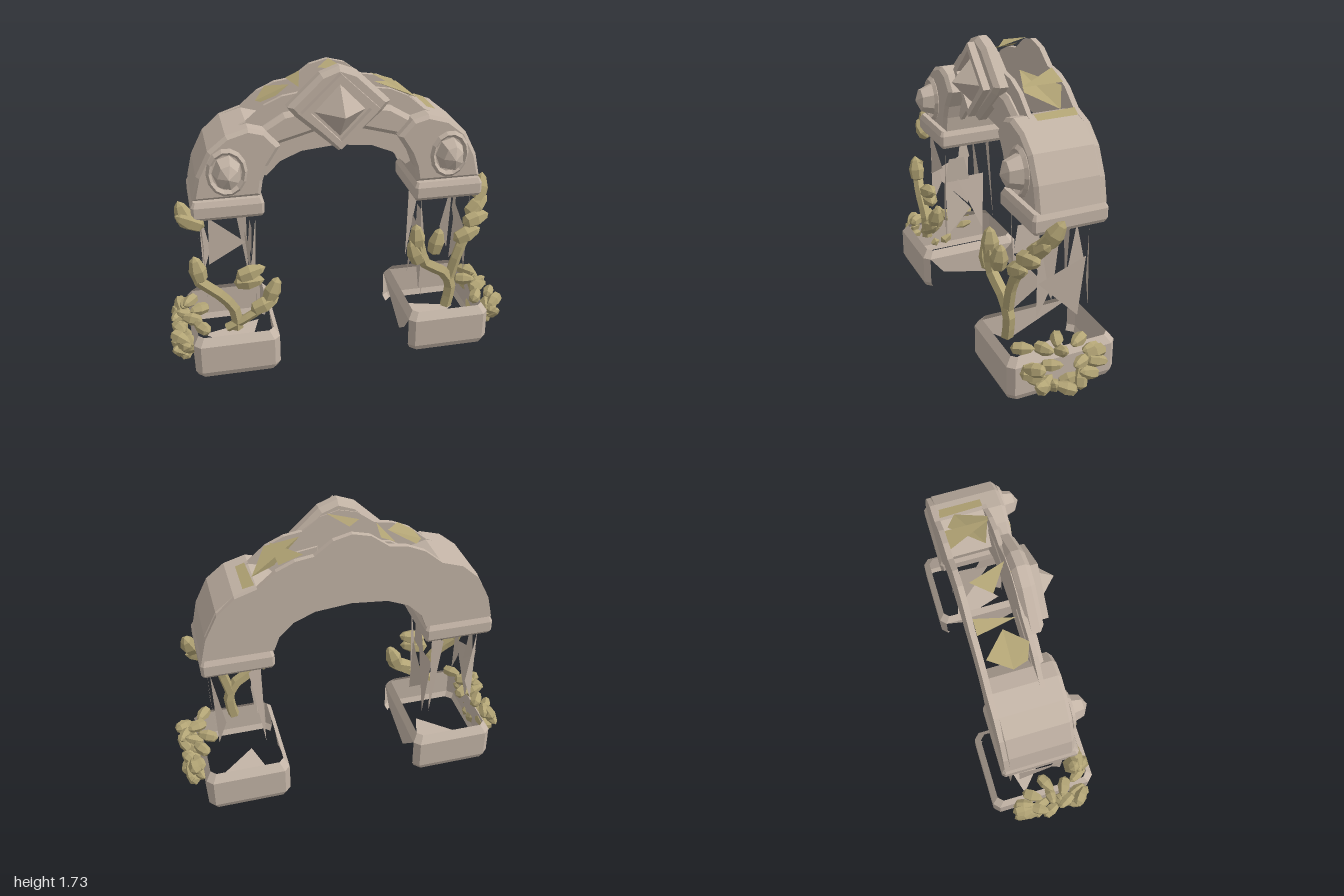
import * as THREE from 'three';

const V = (x, y, z) => new THREE.Vector3(x, y, z);
const mat = (name, color) => {
  const m = new THREE.MeshStandardMaterial({ color, flatShading: true, side: THREE.DoubleSide });
  m.name = name;
  return m;
};

// Outer and inner edge of the arch for x >= 0
const OUTER = [[0, 1.675], [0.1, 1.65], [0.2, 1.575], [0.3, 1.56], [0.4, 1.515], [0.5, 1.43], [0.62, 1.39], [0.72, 1.3], [0.79, 1.16], [0.82, 1.03]];
const INNER = [[0.43, 1.03], [0.4, 1.11], [0.32, 1.19], [0.2, 1.24], [0, 1.26]];
const archY = (x) => {
  const a = Math.abs(x);
  const i = Math.max(1, OUTER.findIndex((p) => p[0] >= a));
  const [p, q] = [OUTER[i - 1], OUTER[i]];
  return p[1] + ((a - p[0]) / (q[0] - p[0])) * (q[1] - p[1]);
};

const shapeOf = (pts) => new THREE.Shape(pts.map((p) => new THREE.Vector2(p[0], p[1])));

// Plate from a front outline between two depths
function plate(pts, z0, z1, bevel = 0) {
  const geo = new THREE.ExtrudeGeometry(shapeOf(pts), {
    depth: z1 - z0 - bevel, bevelEnabled: bevel > 0, bevelThickness: bevel, bevelSize: bevel, bevelOffset: -bevel, bevelSegments: 1,
  });
  geo.translate(0, 0, z0);
  return geo;
}

// Flat polygons, each a fan of triangles
function facets(polys) {
  const a = [];
  for (const p of polys) for (let i = 1; i < p.length - 1; i++) a.push(...p[0], ...p[i], ...p[i + 1]);
  const geo = new THREE.BufferGeometry();
  geo.setAttribute('position', new THREE.Float32BufferAttribute(a, 3));
  geo.computeVertexNormals();
  return geo;
}

// Walls through stacked rectangles with cut corners: [y, half x, half z, cut]; one side may be left out below the rim
function stack(levels, closed, openSide = -1) {
  const rings = levels.map(([y, w, d, c]) => [[w, d - c], [w - c, d], [c - w, d], [-w, d - c], [-w, c - d], [c - w, -d], [w - c, -d], [w, c - d]].map(([x, z]) => [x, y, z]));
  const polys = [];
  for (let k = 0; k < rings.length - 1; k++) {
    for (let i = 0; i < 8; i++) {
      if (i === openSide && k < 2) continue;
      const j = (i + 1) % 8;
      polys.push([rings[k][i], rings[k + 1][i], rings[k + 1][j], rings[k][j]]);
    }
  }
  if (closed) polys.push(rings[0], [...rings[rings.length - 1]].reverse());
  return facets(polys);
}

export function createModel() {
  const stone = mat('stone', 0xc3b4a6);
  const olive = mat('olive', 0xb2a475);
  const root = new THREE.Group();
  root.name = 'archway';
  const add = (name, geo, m = stone, parent = root) => {
    const mesh = new THREE.Mesh(geo, m);
    mesh.name = name;
    parent.add(mesh);
    return mesh;
  };

  // Arch faces: a full plate at the back and a recessed one in front
  const mirror = (pts) => pts.map(([x, y]) => [-x, y]).reverse();
  const arch = [...OUTER, ...INNER, ...mirror(INNER).slice(1), ...mirror(OUTER).slice(0, -1)];
  add('archBack', plate(arch, -0.24, -0.21));
  const near = OUTER.filter((p) => p[0] < 0.6);
  const face = [...near, [0.57, 1.4], [0.57, 1.2], [0.4, 1.11], ...INNER.slice(2)];
  add('archFront', plate([...face, ...mirror(face).slice(1, -1)], 0.03, 0.055));

  // Raised moulding along each side of the arch front
  for (const s of [1, -1]) {
    const band = [[0.1, 1.5], [0.3, 1.47], [0.45, 1.38], [0.45, 1.25], [0.32, 1.3], [0.1, 1.36]];
    add('archMoulding', plate(s > 0 ? band : mirror(band), 0.05, 0.09, 0.025));
  }

  // Olive scales on the open top of the arch
  const scales = [
    [[-0.43, -0.08], [-0.36, -0.2], [-0.24, -0.08], [-0.33, 0.03], [-0.41, 0]],
    [[-0.24, -0.21], [-0.16, -0.21], [-0.2, 0]],
    [[-0.08, -0.08], [0, -0.18], [0.07, 0.02]],
    [[-0.04, 0.08], [0, 0.03], [0.04, 0.08]],
    [[0.25, -0.21], [0.38, -0.21], [0.38, 0.03]],
    [[0.23, -0.03], [0.4, -0.19], [0.51, -0.13], [0.41, 0.03]],
    [[0.51, -0.21], [0.57, -0.2], [0.57, 0.03], [0.52, 0.03]],
  ];
  add('archScales', facets(scales.map((p) => p.map(([x, z]) => [x, archY(x) + 0.012, z]))), olive);

  // Diamond keystone: two stepped frames and a pointed gem
  const rhomb = (w, h, y = 1.485) => [[0, y + h], [w * 0.36, y + h * 0.84], [w, y + h * 0.12], [w * 0.85, y - h * 0.1], [0, y - h],
    [-w * 0.85, y - h * 0.1], [-w, y + h * 0.12], [-w * 0.36, y + h * 0.84]];
  add('keystoneBase', plate(rhomb(0.285, 0.24), 0.06, 0.13, 0.025));
  const kite = (w, h) => [[0, 1.485 + h], [w, 1.49], [0, 1.485 - h], [-w, 1.49]];
  const ring = shapeOf(kite(0.215, 0.21));
  ring.holes.push(new THREE.Path(kite(0.165, 0.165).map((p) => new THREE.Vector2(...p))));
  const ringGeo = new THREE.ExtrudeGeometry(ring, { depth: 0.04, bevelEnabled: false });
  add('keystoneFrame', ringGeo.translate(0, 0, 0.13));
  const gem = new THREE.ConeGeometry(1, 1, 4);
  gem.rotateX(Math.PI / 2).scale(0.14, 0.145, 0.135);
  add('keystoneGem', gem.translate(0, 1.485, 0.197));

  // Tapered pod standing on y, pointed along dir
  const pod = (parent, x, y, z, dir, size = 1) => {
    const geo = new THREE.SphereGeometry(1, 6, 4).scale(0.05, 0.088, 0.05);
    const p = geo.attributes.position;
    for (let i = 0; i < p.count; i++) {
      const k = 1 - p.getY(i) * 3;
      p.setX(i, p.getX(i) * k);
      p.setZ(i, p.getZ(i) * k);
    }
    const mesh = add('leafPod', geo, olive, parent);
    mesh.scale.setScalar(size);
    mesh.position.set(x, y, z);
    mesh.quaternion.setFromUnitVectors(V(0, 1, 0), V(...dir).normalize());
  };
  const stem = (parent, pts, r) =>
    add('vineStem', new THREE.TubeGeometry(new THREE.CatmullRomCurve3(pts.map((p) => V(...p))), 8, r, 5), olive, parent);

  for (const s of [1, -1]) {
    const leg = new THREE.Group();
    leg.name = s > 0 ? 'leftLeg' : 'rightLeg';
    root.add(leg);

    // Thick shoulder of the arch
    const shoulder = [[0.82, 1.03], [0.79, 1.17], [0.72, 1.31], [0.62, 1.39], [0.5, 1.425], [0.41, 1.4], [0.33, 1.31], [0.4, 1.2], [0.43, 1.12], [0.445, 1.03]];
    add('archShoulder', plate(s > 0 ? shoulder : mirror(shoulder), -0.21, 0.15, 0.02), stone, leg);

    // Oval boss with a faceted stone
    const boss = new THREE.Group();
    boss.name = 'boss';
    boss.position.set(s * 0.625, 1.19, 0.155);
    boss.scale.set(0.85, 1.05, 1);
    leg.add(boss);
    add('bossRing', new THREE.TorusGeometry(0.115, 0.018, 4, 14), stone, boss);
    add('bossStone', new THREE.SphereGeometry(0.095, 7, 4).rotateX(Math.PI / 2).scale(1, 1, 1.15), stone, boss);

    // Cap under the arch
    const cap = add('pillarCap', stack([[0.92, 0.19, 0.2, 0.01], [0.94, 0.2, 0.215, 0.015], [1.0, 0.2, 0.215, 0.015], [1.03, 0.185, 0.2, 0.01]], true), stone, leg);
    cap.position.set(s * 0.63, 0, -0.04);

    // Hollow plinth, its inner wall broken away below the rim
    const plinth = add('plinth', stack([[0, 0.23, 0.305, 0.035], [0.035, 0.245, 0.32, 0.035], [0.205, 0.245, 0.32, 0.035], [0.25, 0.215, 0.285, 0.03]], false, s > 0 ? 3 : 7), stone, leg);
    plinth.position.x = s * 0.63;

    // Broken pieces of plinth and pillar
    const shards = [
      [[0.385, 0.205, -0.285], [0.385, 0.205, 0.285], [0.385, 0.1, 0.2], [0.385, 0.03, s * 0.1]],
      [[0.45, 0.02, -0.2], [0.8, 0.02, -0.1], [0.55, 0.02, 0.12]],
      [[0.785, 0.62, 0.12], [0.795, 0.73, -0.15], [0.765, 0.36, -0.13]],
      [[0.78, 0.92, 0.12], [0.77, 0.4, 0.12], [0.775, 0.55, 0.05]],
      [[0.775, 0.92, -0.1], [0.765, 0.6, -0.05], [0.775, 0.7, -0.15]],
      [[0.5, 0.82, 0.1], [0.5, 0.82, 0], [0.51, 0.66, -0.04], [0.51, 0.66, 0.13]],
      [[0.5, 0.66, 0.13], [0.52, 0.45, -0.05], [0.49, 0.3, 0.12]],
      [[0.51, 0.68, 0.05], [0.52, 0.68, -0.14], [0.49, 0.3, -0.12]],
      [[0.48, 0.9, 0.13], [0.5, 0.25, 0.13], [0.525, 0.5, 0.13]],
      [[0.5, 0.9, -0.17], [0.57, 0.86, -0.18], [0.5, 0.36, -0.2]],
      [[0.78, 0.88, -0.17], [0.77, 0.4, -0.19], [0.72, 0.55, -0.2]],
    ];
    if (s < 0) shards.push([[0.74, 0.92, 0.13], [0.54, 0.75, 0.13], [0.75, 0.63, 0.13]]);
    add('brokenPanels', facets(shards.map((q) => q.map(([x, y, z]) => [s * x, y, z]))), stone, leg);

    // Leaves heaped against the outer side of the plinth
    const heap = new THREE.Group();
    heap.name = 'groundLeaves';
    leg.add(heap);
    for (let i = 0; i < 13; i++) {
      const a = Math.PI * (0.95 + (i / 12) * 1.1);
      const dir = [s * 0.5 * Math.sin(i * 3), -Math.sin(a) * 0.5 + 0.2 * Math.sin(i * 5), Math.cos(i * 2)];
      pod(heap, s * (0.925 + 0.03 * Math.sin(i * 2.3)), 0.2 + 0.135 * Math.sin(a), 0.03 + 0.185 * Math.cos(a), dir, 0.78);
    }
    for (let i = 0; i < 5; i++) pod(heap, s * (0.9 + 0.05 * (i % 2)), 0.2 + 0.03 * (i % 3), 0.2 - 0.085 * i, [s * 0.6, 0.3 - 0.2 * (i % 2), i - 2], 0.7);
    for (let i = 0; i < 4; i++) pod(heap, s * (0.82 + 0.05 * (i % 2)), 0.28, 0.22 - 0.1 * i, [s, 0.1, i - 1.5], 0.75);
  }

  // Vine on the model's left leg
  const vineA = new THREE.Group();
  vineA.name = 'leftVine';
  root.add(vineA);
  stem(vineA, [[0.63, 0.24, 0.22], [0.65, 0.38, 0.22], [0.6, 0.48, 0.23], [0.48, 0.56, 0.24], [0.44, 0.68, 0.24]], 0.035);
  stem(vineA, [[0.64, 0.42, 0.22], [0.69, 0.6, 0.22], [0.77, 0.76, 0.18], [0.86, 0.92, 0.1]], 0.032);
  for (const [x, y, z, d] of [
    [0.55, 0.68, 0.23, [0.2, 1, 0]], [0.42, 0.63, 0.24, [-0.4, 1, 0]], [0.43, 0.72, 0.23, [-0.1, 1, 0]],
    [0.82, 0.84, 0.13, [1, 0.7, -0.3]], [0.86, 0.93, 0.07, [0.3, 1, -0.5]], [0.74, 0.7, 0.21, [1, 0.4, 0]], [0.8, 0.78, 0.18, [1, 0.2, -0.2]],
  ]) pod(vineA, x, y, z, d);

  // Vine on the model's right leg
  const vineB = new THREE.Group();
  vineB.name = 'rightVine';
  root.add(vineB);
  stem(vineB, [[-0.62, 0.25, 0.22], [-0.63, 0.38, 0.22], [-0.72, 0.5, 0.22], [-0.82, 0.58, 0.2], [-0.83, 0.7, 0.19]], 0.034);
  stem(vineB, [[-0.68, 0.26, 0.22], [-0.58, 0.31, 0.23], [-0.47, 0.38, 0.23], [-0.4, 0.47, 0.23]], 0.027);
  for (const [x, y, z, d] of [
    [-0.53, 0.61, 0.23, [1, 0.3, 0]], [-0.82, 0.65, 0.21, [-0.2, 1, 0]], [-0.87, 0.95, 0.12, [-0.3, 1, 0]], [-0.84, 0.92, 0.15, [-1, 0.5, 0]],
    [-0.41, 0.48, 0.23, [0.4, 1, 0]], [-0.46, 0.4, 0.24, [1, 0.4, 0]], [-0.54, 0.55, 0.22, [1, 0.1, 0.2]],
  ]) pod(vineB, x, y, z, d);

  return root;
}
